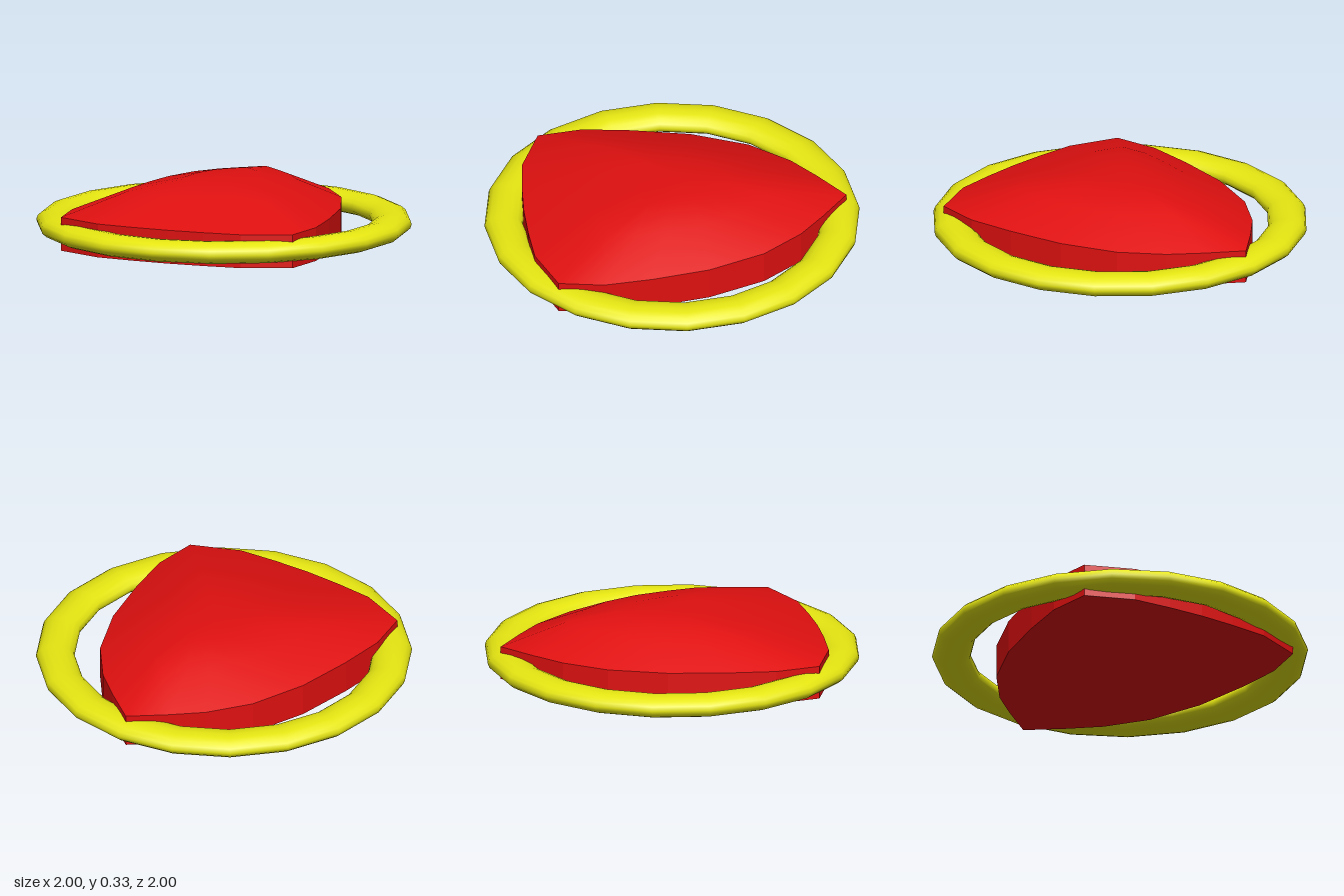
import * as THREE from 'three';

const red = new THREE.MeshStandardMaterial({ color: 0xe01010 });
const yellow = new THREE.MeshStandardMaterial({ color: 0xe6e612 });

// Rounded-triangle outline (x, z): back tip, +x side, front edge, then mirrored
const half = [
  [0, -0.93], [0.18, -0.79], [0.33, -0.66], [0.49, -0.45], [0.61, -0.15], [0.67, 0.16],
  [0.7, 0.42], [0.665, 0.66], [0.41, 0.765], [0.2, 0.783], [0, 0.79],
];
const outline = [...half, ...half.slice(1, -1).reverse().map(([x, z]) => [-x, z])];
const N = outline.length;
const MID_Z = -0.07;
const THICK = 0.18;

function geometryFrom(positions, index) {
  const g = new THREE.BufferGeometry();
  g.setAttribute('position', new THREE.Float32BufferAttribute(positions, 3));
  g.setIndex(index);
  g.computeVertexNormals();
  return g;
}

// Domed sheet: outline shrunk in rings [scale, height] towards a centre point
function domeSheet(drop, faceUp) {
  const rings = [[1, 0.18], [0.6, 0.29], [0.28, 0.33]];
  const pos = [];
  const index = [];
  const tri = (a, b, c) => (faceUp ? index.push(a, c, b) : index.push(a, b, c));
  for (const [s, y] of rings) {
    for (const [x, z] of outline) pos.push(x * s, y - drop, MID_Z + (z - MID_Z) * s);
  }
  pos.push(0, 0.33 - drop, MID_Z);
  const centre = rings.length * N;
  for (let i = 0; i < N; i++) {
    const j = (i + 1) % N;
    for (let r = 0; r < rings.length - 1; r++) {
      const a = r * N;
      const b = a + N;
      tri(a + i, a + j, b + j);
      tri(a + i, b + j, b + i);
    }
    tri(centre - N + i, centre - N + j, centre);
  }
  return geometryFrom(pos, index);
}

// Upright rim, one separate flat panel per outline side
function rimWall() {
  const pos = [];
  const index = [];
  outline.forEach(([x, z], i) => {
    const [x2, z2] = outline[(i + 1) % N];
    const k = i * 4;
    pos.push(x, THICK, z, x2, THICK, z2, x2, 0, z2, x, 0, z);
    index.push(k, k + 1, k + 2, k, k + 2, k + 3);
  });
  return geometryFrom(pos, index);
}

function addMesh(parent, name, geometry, material) {
  const mesh = new THREE.Mesh(geometry, material);
  mesh.name = name;
  parent.add(mesh);
  return mesh;
}

export function createModel() {
  const model = new THREE.Group();
  model.name = 'badge';

  // Curved triangular shell with a hollow underside
  const shell = new THREE.Group();
  shell.name = 'triangularShell';
  addMesh(shell, 'domedTop', domeSheet(0, true), red);
  addMesh(shell, 'hollowUnderside', domeSheet(THICK, false), red);
  addMesh(shell, 'shellRim', rimWall(), red);
  model.add(shell);

  // Flattened twenty-sided ring
  const ring = new THREE.TorusGeometry(0.897, 0.103, 16, 20);
  ring.rotateX(-Math.PI / 2);
  ring.scale(1, 0.57, 1);
  addMesh(model, 'ring', ring, yellow).position.y = 0.09;

  return model;
}
